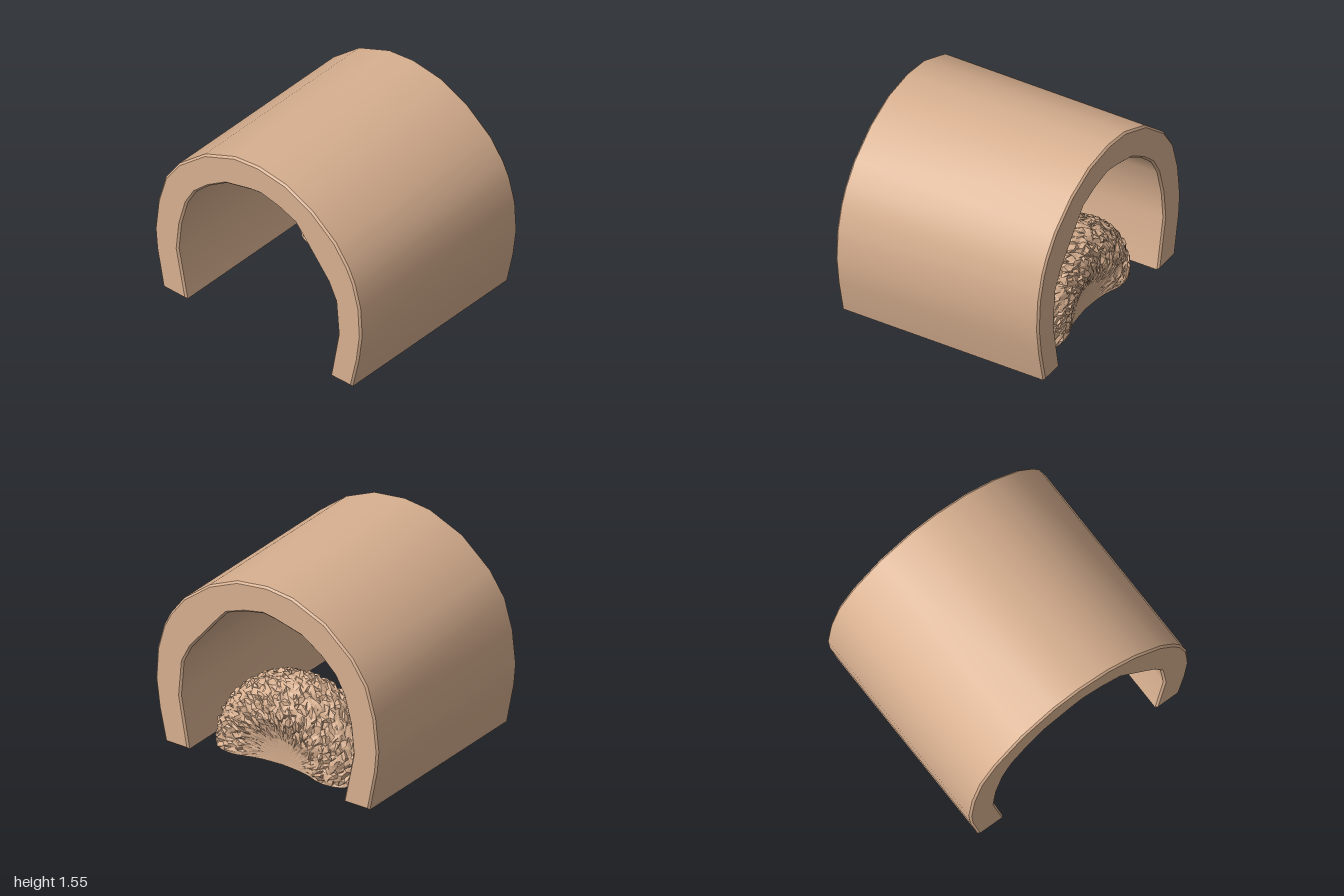
import * as THREE from 'three';
import { toCreasedNormals } from 'three/addons/utils/BufferGeometryUtils.js';

// Small seeded random generator, -1 to 1
function makeRandom(seed) {
  return () => {
    seed = (seed * 1664525 + 1013904223) >>> 0;
    return (seed / 4294967296) * 2 - 1;
  };
}

const toVectors = (list) => list.map(([x, y]) => new THREE.Vector2(x, y));

// Hollow half-log: a horseshoe section carried along z, with a slight chamfer
function buildArch(material) {
  const outer = [
    [0.91, 0], [0.97, 0.27], [1, 0.5], [0.985, 0.75], [0.93, 0.95], [0.87, 1.07], [0.75, 1.23],
    [0.52, 1.41], [0.27, 1.52], [0, 1.555], [-0.23, 1.53], [-0.52, 1.41], [-0.77, 1.2],
    [-0.9, 1.01], [-0.97, 0.77], [-1, 0.5], [-0.985, 0.33], [-0.92, 0],
  ];
  const inner = [
    [-0.69, 0], [-0.775, 0.42], [-0.75, 0.66], [-0.69, 0.88], [-0.61, 1.02], [-0.48, 1.14],
    [-0.31, 1.25], [-0.07, 1.31], [0.03, 1.325], [0.2, 1.29], [0.36, 1.23], [0.43, 1.15],
    [0.68, 0.85], [0.75, 0.71], [0.775, 0.42], [0.7, 0],
  ];
  const depth = 1.73, chamfer = 0.015;
  const geometry = new THREE.ExtrudeGeometry(new THREE.Shape(toVectors([...outer, ...inner])), {
    depth: depth - 2 * chamfer, bevelEnabled: true, bevelSegments: 1,
    bevelThickness: chamfer, bevelSize: chamfer, bevelOffset: -chamfer,
  });
  geometry.translate(0, 0, -depth / 2 + chamfer);
  const arch = new THREE.Mesh(toCreasedNormals(geometry, 0.45), material);
  arch.name = 'hollowLogArch';
  return arch;
}

// Rough mound: upright half disc, dished on both faces, with a shaggy rim
function buildMound(material) {
  const half = [[0, -0.18], [0.2, -0.2], [0.4, -0.255], [0.55, -0.225], [0.635, -0.12]];
  const mirrored = half.map(([r, t]) => [r, -t]).reverse();
  const profile = new THREE.SplineCurve(toVectors([...half, [0.655, 0], ...mirrored])).getPoints(56);

  const geometry = new THREE.LatheGeometry(profile, 72, -Math.PI / 2, Math.PI);
  geometry.rotateX(-Math.PI / 2);
  const random = makeRandom(7);
  const position = geometry.attributes.position;
  const p = new THREE.Vector3();
  for (let i = 0; i < position.count; i++) {
    p.fromBufferAttribute(position, i);
    // The dished centre stays smooth and the ground edge stays put
    const rough = THREE.MathUtils.smoothstep(Math.hypot(p.x, p.y), 0.12, 0.45);
    if (p.y < 0.005) continue;
    p.x += random() * 0.015 * rough;
    p.y = Math.max(0, p.y + random() * 0.015 * rough);
    p.z += random() * 0.015 * rough;
    position.setXYZ(i, p.x, p.y, p.z);
  }
  const faceted = geometry.toNonIndexed();
  faceted.computeVertexNormals();
  const surface = new THREE.Mesh(faceted, material);
  surface.name = 'moundSurface';

  // Flat underside
  const outline = [...profile, ...profile.slice(1, -1).reverse().map((v) => new THREE.Vector2(-v.x, v.y))];
  const base = new THREE.Mesh(new THREE.ShapeGeometry(new THREE.Shape(outline)), material);
  base.geometry.rotateX(Math.PI / 2);
  base.name = 'moundUnderside';

  const mound = new THREE.Group();
  mound.name = 'mound';
  mound.add(surface, base);
  mound.position.set(0, 0.004, -0.48);
  return mound;
}

export function createModel() {
  const tan = new THREE.MeshStandardMaterial({ color: 0xd8b090 });
  tan.name = 'tan';
  const model = new THREE.Group();
  model.name = 'hollowLogShelter';
  model.add(buildArch(tan), buildMound(tan));
  return model;
}
